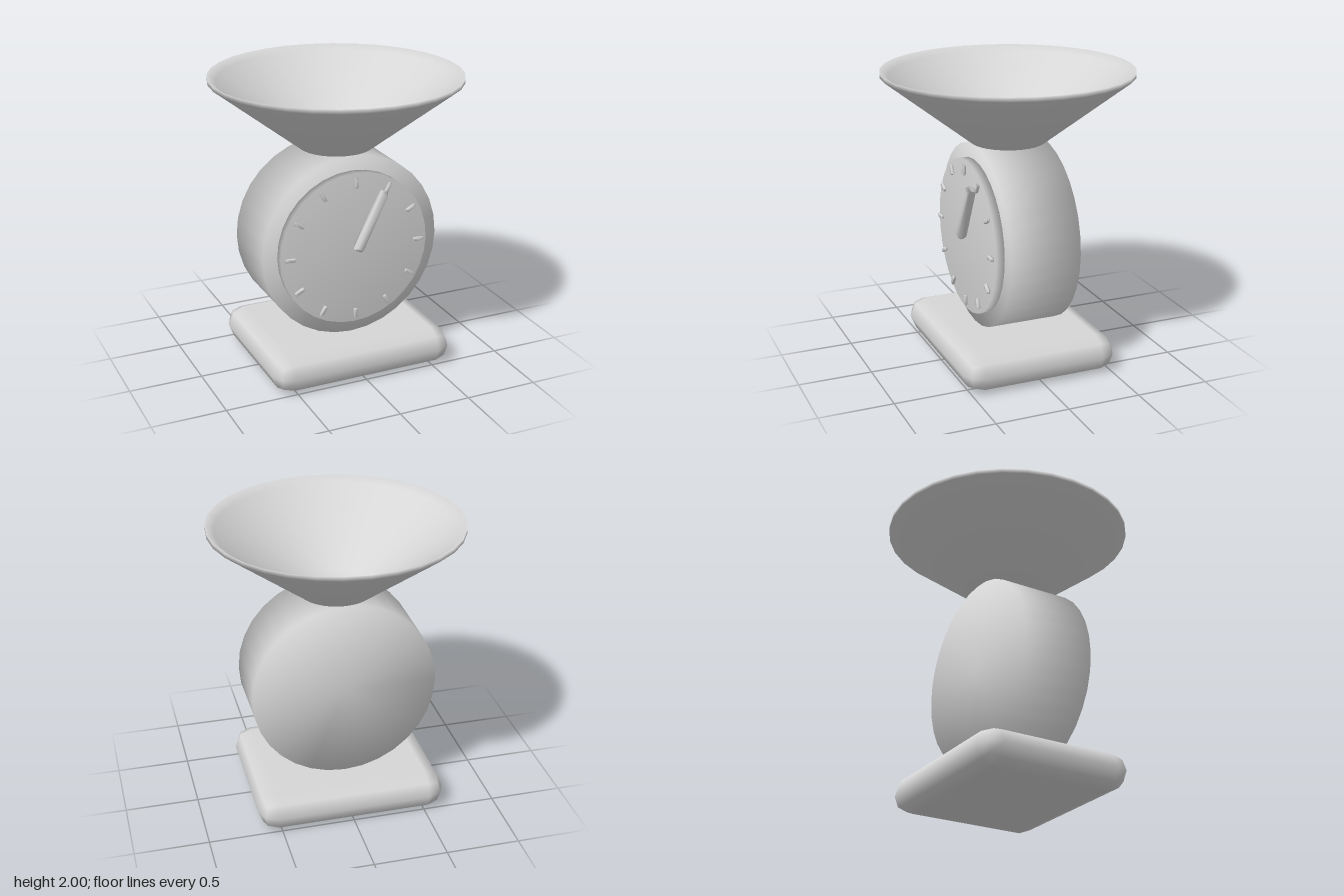
import * as THREE from 'three';
import { mergeVertices } from 'three/addons/utils/BufferGeometryUtils.js';
import { RoundedBoxGeometry } from 'three/addons/geometries/RoundedBoxGeometry.js';

// Surface of revolution about y from [radius, height] pairs
function lathe(pairs) {
  return new THREE.LatheGeometry(pairs.map(([r, y]) => new THREE.Vector2(r, y)), 32);
}

// Disc facing +z, shaded smoothly over its edges
function disc(radius, depth) {
  const h = depth / 2;
  return lathe([[0, -h], [radius, -h], [radius, h], [0, h]]).rotateX(Math.PI / 2);
}

// Bar along +y starting at y = 0, with chamfered ends and welded smooth edges
function bar(width, length, depth) {
  const c = depth * 0.3, h = depth / 2;
  const shape = new THREE.Shape([
    [-h, c], [-h + c, 0], [h - c, 0], [h, c],
    [h, length - c], [h - c, length], [-h + c, length], [-h, length - c],
  ].map(([x, y]) => new THREE.Vector2(x, y)));
  const geometry = new THREE.ExtrudeGeometry(shape, { depth: width, bevelEnabled: false });
  geometry.translate(0, 0, -width / 2).rotateY(Math.PI / 2);
  geometry.deleteAttribute('normal');
  geometry.deleteAttribute('uv');
  const welded = mergeVertices(geometry, 1e-4);
  welded.computeVertexNormals();
  return welded;
}

export function createModel() {
  const group = new THREE.Group();
  const grey = new THREE.MeshStandardMaterial({ color: 0xd6d6d6 });
  grey.name = 'light grey';
  const centreY = 0.88;

  function add(name, geometry, x = 0, y = 0, z = 0, parent = group) {
    const mesh = new THREE.Mesh(geometry, grey);
    mesh.name = name;
    mesh.position.set(x, y, z);
    parent.add(mesh);
    return mesh;
  }

  // Foot and round housing
  add('base', new RoundedBoxGeometry(1.3, 0.25, 1.085, 1, 0.125), 0, 0.125, 0);
  add('body', disc(0.63, 0.49), 0, centreY, 0);
  add('dial', disc(0.53, 0.06), 0, centreY, 0.273);

  // Twelve marks around the dial
  const marks = new THREE.Group();
  marks.name = 'dialMarks';
  group.add(marks);
  const markGeometry = bar(0.022, 0.07, 0.022);
  for (let i = 0; i < 12; i++) {
    const a = (i / 12) * Math.PI * 2;
    const mark = add('mark', markGeometry, Math.sin(a) * 0.43, centreY + Math.cos(a) * 0.43, 0.317, marks);
    mark.rotation.z = -a;
  }

  // Pointer
  const pointer = add('pointer', bar(0.047, 0.435, 0.062), 0, centreY, 0.345);
  pointer.rotation.z = -0.455;

  // Weighing pan: conical shell with an upright lip and a small flat floor
  add('pan', lathe([
    [0, 1.513], [0.25, 1.513], [0.84, 1.97], [0.84, 2],
    [0.785, 1.965], [0.22, 1.55], [0, 1.55],
  ]));

  return group;
}
